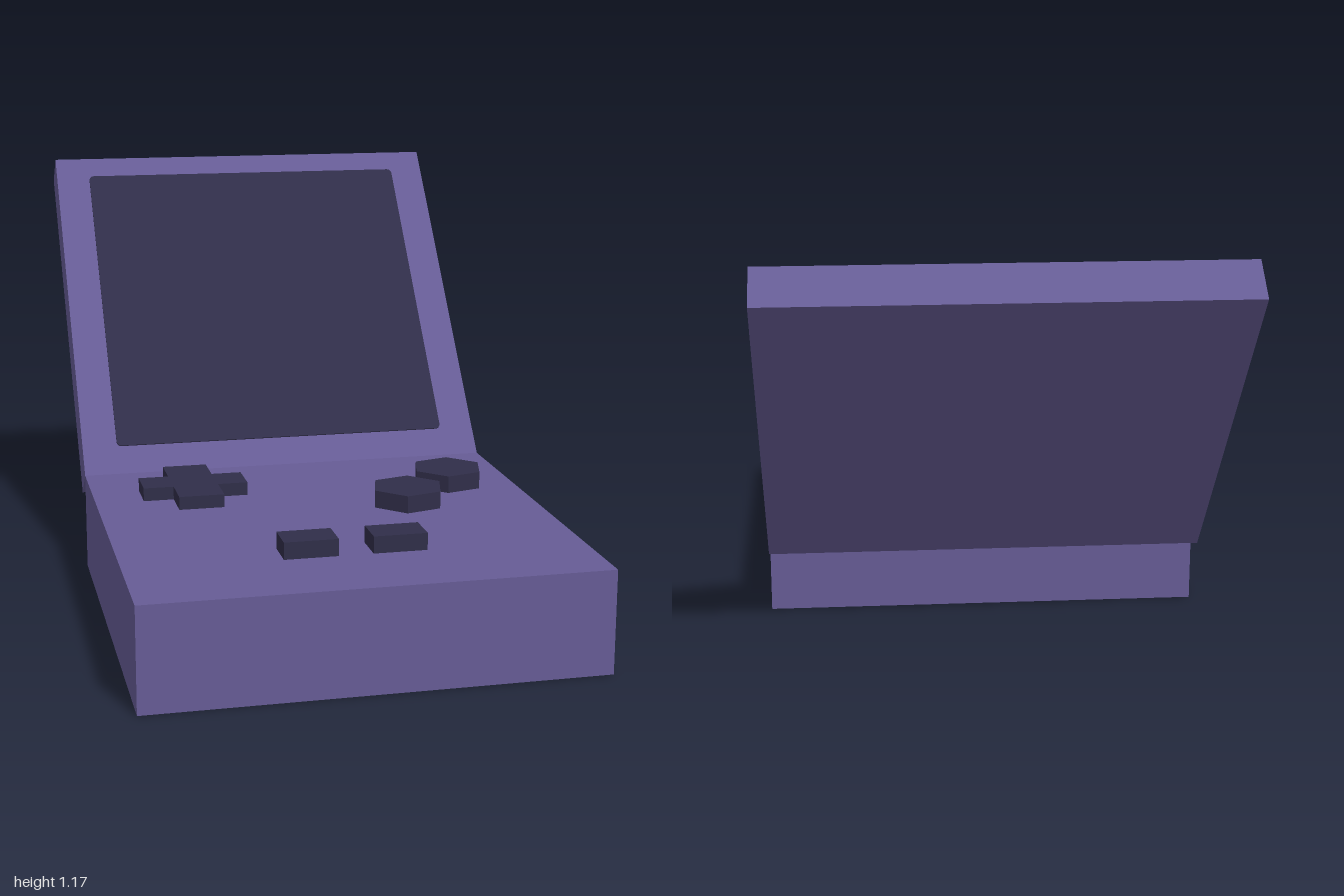
import * as THREE from 'three';

export function createModel() {
  const model = new THREE.Group();
  model.name = 'foldingHandheld';

  const purple = new THREE.MeshStandardMaterial({ color: 0x665c95 });
  purple.name = 'purple shell';
  const dark = new THREE.MeshStandardMaterial({ color: 0x302e49 });
  dark.name = 'dark plastic';

  const WIDTH = 1.24, TOP = 0.285, BACK = -0.165;

  function add(parent, name, geometry, material, x, y, z) {
    const mesh = new THREE.Mesh(geometry, material);
    mesh.name = name;
    mesh.position.set(x, y, z);
    parent.add(mesh);
    return mesh;
  }

  // Lower body
  add(model, 'base', new THREE.BoxGeometry(WIDTH, TOP, 1 - BACK), purple, 0, TOP / 2, (1 + BACK) / 2);

  // Lid, pivoting on the rear top edge of the base and leaning back
  const lid = new THREE.Group();
  lid.name = 'lid';
  lid.position.set(0, TOP, BACK);
  lid.rotation.x = -Math.atan2(0.735, 0.88);
  model.add(lid);
  const lidHeight = 1.147, lidDepth = 0.124;
  add(lid, 'lidShell', new THREE.BoxGeometry(WIDTH, lidHeight, lidDepth), purple, 0, lidHeight / 2, -lidDepth / 2);

  // Screen with slightly rounded corners
  const w = 0.515, low = 0.092, high = 1.076, r = 0.015;
  const outline = new THREE.Shape();
  outline.absarc(w - r, low + r, r, -Math.PI / 2, 0);
  outline.absarc(w - r, high - r, r, 0, Math.PI / 2);
  outline.absarc(-w + r, high - r, r, Math.PI / 2, Math.PI);
  outline.absarc(-w + r, low + r, r, Math.PI, Math.PI * 1.5);
  const screen = new THREE.ExtrudeGeometry(outline, { depth: 0.004, bevelEnabled: false, curveSegments: 4 });
  add(lid, 'screen', screen, dark, 0, 0, 0);

  // Cross-shaped direction pad
  const a = 0.065, b = 0.152, c = 0.055, d = 0.162;
  const cross = new THREE.Shape([
    [a, c], [b, c], [b, -c], [a, -c], [a, -d], [-a, -d],
    [-a, -c], [-b, -c], [-b, c], [-a, c], [-a, d], [a, d],
  ].map(([x, y]) => new THREE.Vector2(x, y)));
  const pad = new THREE.ExtrudeGeometry(cross, { depth: 0.038, bevelEnabled: false });
  pad.rotateX(-Math.PI / 2);
  add(model, 'directionPad', pad, dark, -0.33, TOP, 0.083);

  // Hexagonal action buttons
  const hexagon = new THREE.CylinderGeometry(0.107, 0.107, 0.05, 6, 1, false, Math.PI / 4).toNonIndexed();
  hexagon.computeVertexNormals();
  for (const [name, x, z] of [['outerButton', 0.427, 0.143], ['innerButton', 0.256, 0.313]]) {
    add(model, name, hexagon, dark, x, TOP + 0.025, z);
  }

  // Small menu buttons
  for (const [name, x] of [['rightMenuButton', -0.124], ['leftMenuButton', 0.117]]) {
    add(model, name, new THREE.BoxGeometry(0.147, 0.047, 0.096), dark, x, TOP + 0.0235, 0.693);
  }

  return model;
}
